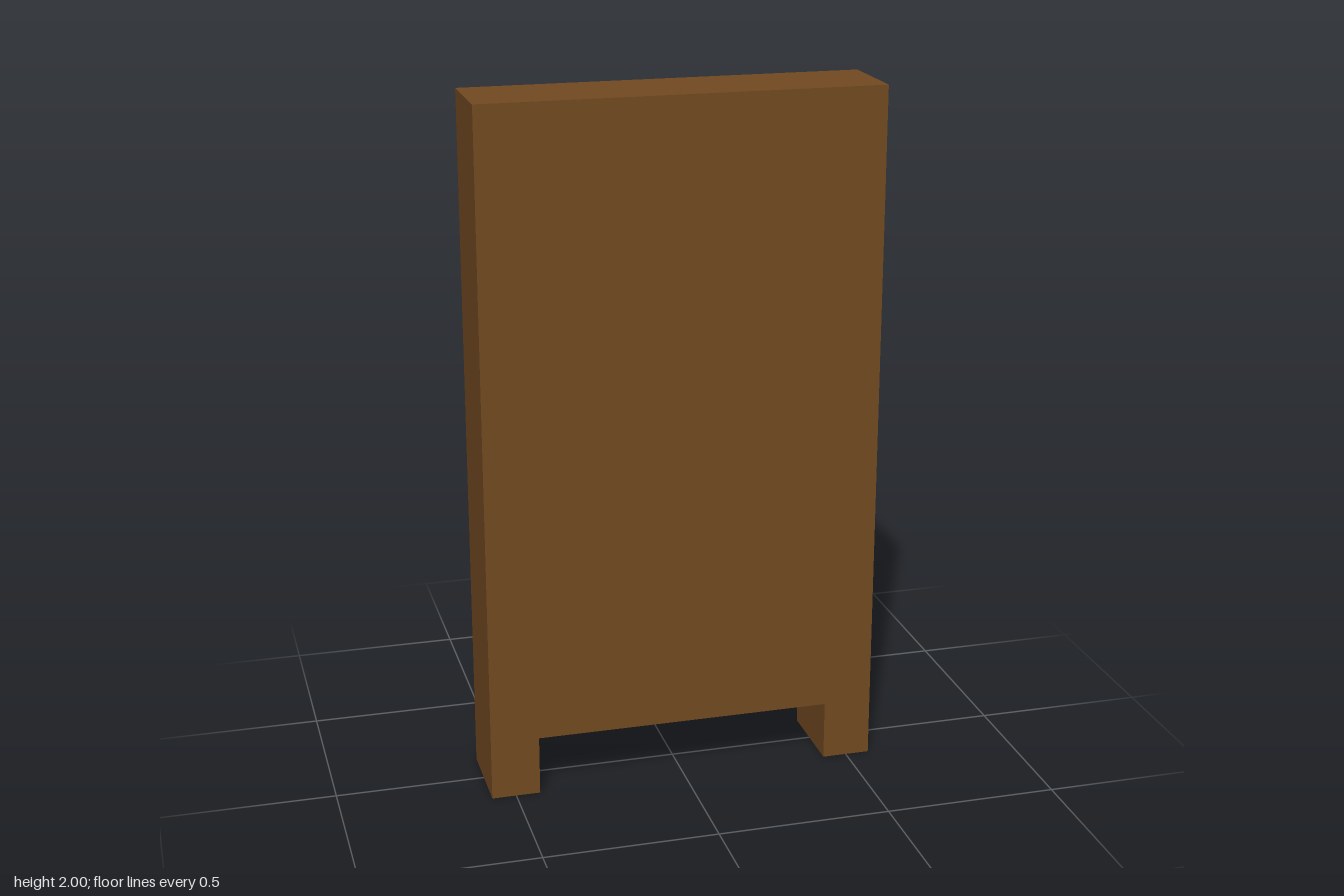
import * as THREE from 'three';

// The open side of the bookcase faces -z; its plain back faces +z.
const W = 0.57, H = 2, LEG_X = 0.43, LEG_H = 0.173;
const Z_OPEN = -0.121, Z_BACK = 0, Z_END = 0.133;
const DRAWER_X = 0.41, DRAWER_Y0 = 0.187, DRAWER_Y1 = 0.585;
const SHELF_T = 0.042;

const toShape = (pts) => new THREE.Shape(pts.map(([x, y]) => new THREE.Vector2(x, y)));

export function createModel() {
  const group = new THREE.Group();
  const wood = new THREE.MeshStandardMaterial({ color: 0x734a21 });
  wood.name = 'brown wood';
  const shelfWood = new THREE.MeshStandardMaterial({ color: 0x865f4d });
  shelfWood.name = 'rosy shelf wood';

  const add = (name, geometry, material) => {
    const mesh = new THREE.Mesh(geometry, material);
    mesh.name = name;
    group.add(mesh);
    return mesh;
  };
  const slab = (name, shape, z0, z1, material) => {
    const geometry = new THREE.ExtrudeGeometry(shape, { depth: z1 - z0, bevelEnabled: false });
    geometry.translate(0, 0, z0);
    return add(name, geometry, material);
  };
  const box = (name, halfX, y0, y1, z0, z1, material) => {
    const mesh = add(name, new THREE.BoxGeometry(2 * halfX, y1 - y0, z1 - z0), material);
    mesh.position.set(0, (y0 + y1) / 2, (z0 + z1) / 2);
    return mesh;
  };

  // Outline with two legs, shared by the frame and the back
  const outline = [
    [-W, 0], [-LEG_X, 0], [-LEG_X, LEG_H], [LEG_X, LEG_H],
    [LEG_X, 0], [W, 0], [W, H], [-W, H],
  ];
  slab('backPanel', toShape(outline), Z_BACK, Z_END, wood);

  // Frame with one opening for the shelves and the narrower drawer
  const frame = toShape(outline);
  const top = 1.94, ledge = 0.648, taper = 0.607;
  frame.holes.push(toShape([
    [-LEG_X, top], [-LEG_X, taper], [-DRAWER_X, DRAWER_Y1], [-DRAWER_X, DRAWER_Y0],
    [DRAWER_X, DRAWER_Y0], [DRAWER_X, DRAWER_Y1], [LEG_X, taper], [LEG_X, top],
  ]));
  slab('frame', frame, Z_OPEN, Z_BACK, wood);

  // Ceiling of the top compartment
  box('ceilingPanel', LEG_X, top - 0.003, top, Z_OPEN + 0.001, Z_BACK, shelfWood);

  // Three open shelves
  for (let i = 1; i <= 3; i++) {
    const y = ledge + i * 0.331;
    box('shelf' + i, LEG_X, y - SHELF_T, y, Z_OPEN, Z_BACK, shelfWood);
  }

  // Lower shelf, tapering in to the drawer
  slab('lowerShelf', toShape([
    [-LEG_X, ledge], [-LEG_X, taper], [-DRAWER_X, DRAWER_Y1],
    [DRAWER_X, DRAWER_Y1], [LEG_X, taper], [LEG_X, ledge],
  ]), Z_OPEN, Z_BACK, shelfWood);

  // Drawer with a narrow gap around it, and its handle
  const gap = 0.004;
  box('drawer', DRAWER_X - gap, DRAWER_Y0 + gap, DRAWER_Y1 - gap, Z_OPEN, Z_BACK, shelfWood);
  box('drawerHandle', 0.125, 0.475, 0.513, -0.134, Z_OPEN, shelfWood);

  return group;
}
